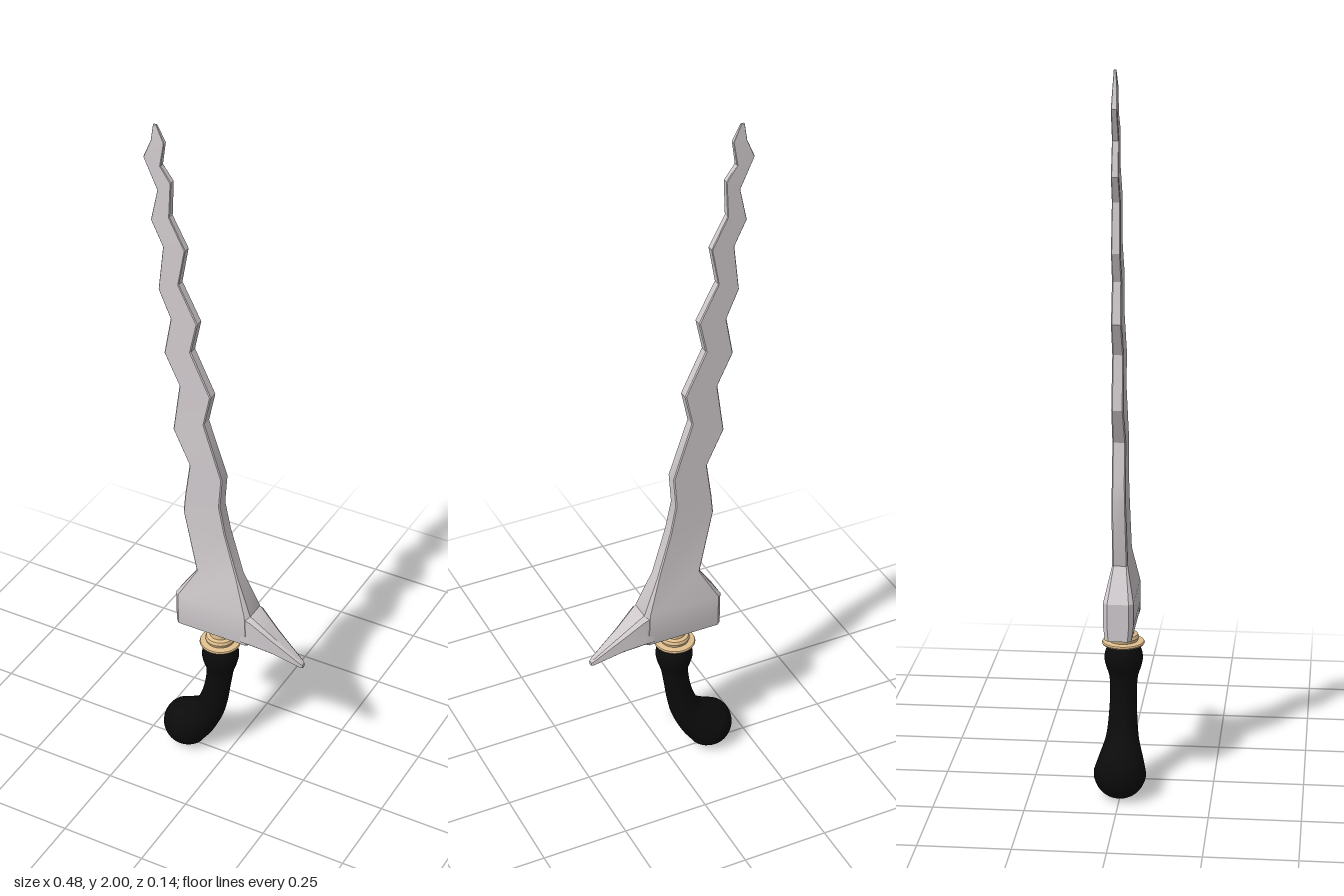
import * as THREE from 'three';
import { toCreasedNormals } from 'three/addons/utils/BufferGeometryUtils.js';

const STEEL = 0xcfc9cc, BRASS = 0xe2c08e, BLACK = 0x0b0b0b;

// Skin a list of equal-length rings, with flat caps at both ends
function loft(rings, crease) {
  const n = rings[0].length, pos = [];
  const tri = (...pts) => pts.forEach((p) => pos.push(...p));
  for (let i = 0; i < rings.length - 1; i++) {
    for (let j = 0; j < n; j++) {
      const k = (j + 1) % n;
      const [a, b, c, d] = [rings[i][j], rings[i][k], rings[i + 1][k], rings[i + 1][j]];
      tri(a, b, c);
      tri(a, c, d);
    }
  }
  const first = rings[0], last = rings[rings.length - 1];
  for (let j = 1; j < n - 1; j++) {
    tri(first[0], first[j + 1], first[j]);
    tri(last[0], last[j], last[j + 1]);
  }
  const g = new THREE.BufferGeometry();
  g.setAttribute('position', new THREE.Float32BufferAttribute(pos, 3));
  return toCreasedNormals(g, crease);
}

// Chamfered bar section between points p and q in the xy plane, half thickness h
function section(p, q, h, c) {
  const t = c / Math.hypot(q[0] - p[0], q[1] - p[1]);
  const at = (s, z) => [p[0] + (q[0] - p[0]) * s, p[1] + (q[1] - p[1]) * s, z];
  return [at(0, h - c), at(t, h), at(1 - t, h), at(1, h - c),
    at(1, c - h), at(1 - t, -h), at(t, -h), at(0, c - h)];
}

function part(name, geometry, color) {
  const mesh = new THREE.Mesh(geometry, new THREE.MeshStandardMaterial({ color }));
  mesh.name = name;
  return mesh;
}

// Wavy blade growing out of the thick base: [left x, left y, right x, right y, half thickness, chamfer]
function makeBlade() {
  const rows = [
    [-0.15, 0.46, 0.085, 0.46, 0.036, 0.010],
    [-0.15, 0.50, 0.088, 0.50, 0.041, 0.012],
    [-0.15, 0.565, 0.085, 0.565, 0.041, 0.012],
    [-0.09, 0.655, 0.04, 0.67, 0.021, 0.004],
    [-0.13, 0.845, 0.00, 0.81, 0.019, 0.003],
    [-0.125, 0.90, -0.017, 0.895, 0.018, 0.003],
    [-0.11, 1.005, -0.01, 0.985, 0.018, 0.003],
    [-0.16, 1.105, -0.065, 1.15, 0.016, 0.003],
    [-0.14, 1.25, -0.045, 1.24, 0.015, 0.003],
    [-0.185, 1.34, -0.105, 1.365, 0.014, 0.003],
    [-0.165, 1.45, -0.085, 1.455, 0.013, 0.003],
    [-0.20, 1.53, -0.14, 1.56, 0.012, 0.002],
    [-0.185, 1.66, -0.12, 1.665, 0.011, 0.002],
    [-0.22, 1.73, -0.165, 1.75, 0.010, 0.002],
    [-0.20, 1.82, -0.16, 1.85, 0.009, 0.002],
    [-0.24, 1.905, -0.19, 1.89, 0.008, 0.002],
    [-0.218, 1.955, -0.18, 1.955, 0.006, 0.001],
    [-0.212, 2.0, -0.202, 2.0, 0.003, 0.001],
  ];
  return loft(rows.map(([lx, ly, rx, ry, h, c]) => section([lx, ly], [rx, ry], h, c)), 0.45);
}

// Pointed horn on the guard: [x, top y, bottom y, half thickness, chamfer]
function makeHorn() {
  const rows = [
    [0.06, 0.567, 0.461, 0.040, 0.010],
    [0.09, 0.560, 0.459, 0.040, 0.012],
    [0.15, 0.508, 0.446, 0.026, 0.009],
    [0.232, 0.442, 0.421, 0.010, 0.004],
    [0.24, 0.434, 0.422, 0.007, 0.003],
  ];
  return loft(rows.map(([x, top, bottom, h, c]) => section([x, top], [x, bottom], h, c)), 0.6);
}

// Stepped collar with a thin flange
function makeCollar() {
  const profile = [[0, 0.412], [0.057, 0.412], [0.059, 0.416], [0.057, 0.42], [0.040, 0.422],
    [0.043, 0.431], [0.040, 0.440], [0.030, 0.443], [0.030, 0.47], [0, 0.47]];
  const g = new THREE.LatheGeometry(profile.map(([r, y]) => new THREE.Vector2(r, y)), 40);
  return toCreasedNormals(g, 0.6);
}

// Curved grip swept along a path; each control point is (x, y, radius)
function makeGrip() {
  const path = [[-0.13, 0.076, 0.072], [-0.097, 0.106, 0.061], [-0.062, 0.15, 0.046],
    [-0.043, 0.20, 0.040], [-0.029, 0.27, 0.037], [-0.023, 0.32, 0.040], [-0.022, 0.345, 0.048],
    [-0.022, 0.373, 0.053], [-0.022, 0.40, 0.046], [-0.022, 0.417, 0.028]];
  const curve = new THREE.CatmullRomCurve3(path.map((p) => new THREE.Vector3(...p)));
  const rings = [];
  const ring = (x, y, r, dx, dy) => {
    const pts = [];
    for (let j = 0; j < 32; j++) {
      const a = (j / 32) * Math.PI * 2, s = r * Math.sin(a);
      pts.push([x + s * dy, y - s * dx, r * Math.cos(a)]);
    }
    rings.push(pts);
  };
  const [cx, cy, R] = path[0], dx = 0.74, dy = 0.673;
  // rounded pommel end
  for (let i = 0; i < 10; i++) {
    const a = ((i + 0.3) / 10) * Math.PI / 2;
    ring(cx - dx * R * Math.cos(a), cy - dy * R * Math.cos(a), R * Math.sin(a), dx, dy);
  }
  for (let i = 0; i <= 48; i++) {
    const p = curve.getPoint(i / 48), t = curve.getTangent(i / 48);
    const l = Math.hypot(t.x, t.y);
    ring(p.x, p.y, p.z, t.x / l, t.y / l);
  }
  return loft(rings, 0.9);
}

export function createModel() {
  const model = new THREE.Group();
  model.name = 'wavyDagger';
  const blade = part('blade', makeBlade(), STEEL);
  const horn = part('guardHorn', makeHorn(), STEEL);
  const collar = part('collar', makeCollar(), BRASS);
  blade.position.z = horn.position.z = -0.004;
  collar.position.set(-0.023, 0, -0.001);
  model.add(blade, horn, collar, part('grip', makeGrip(), BLACK));
  return model;
}
